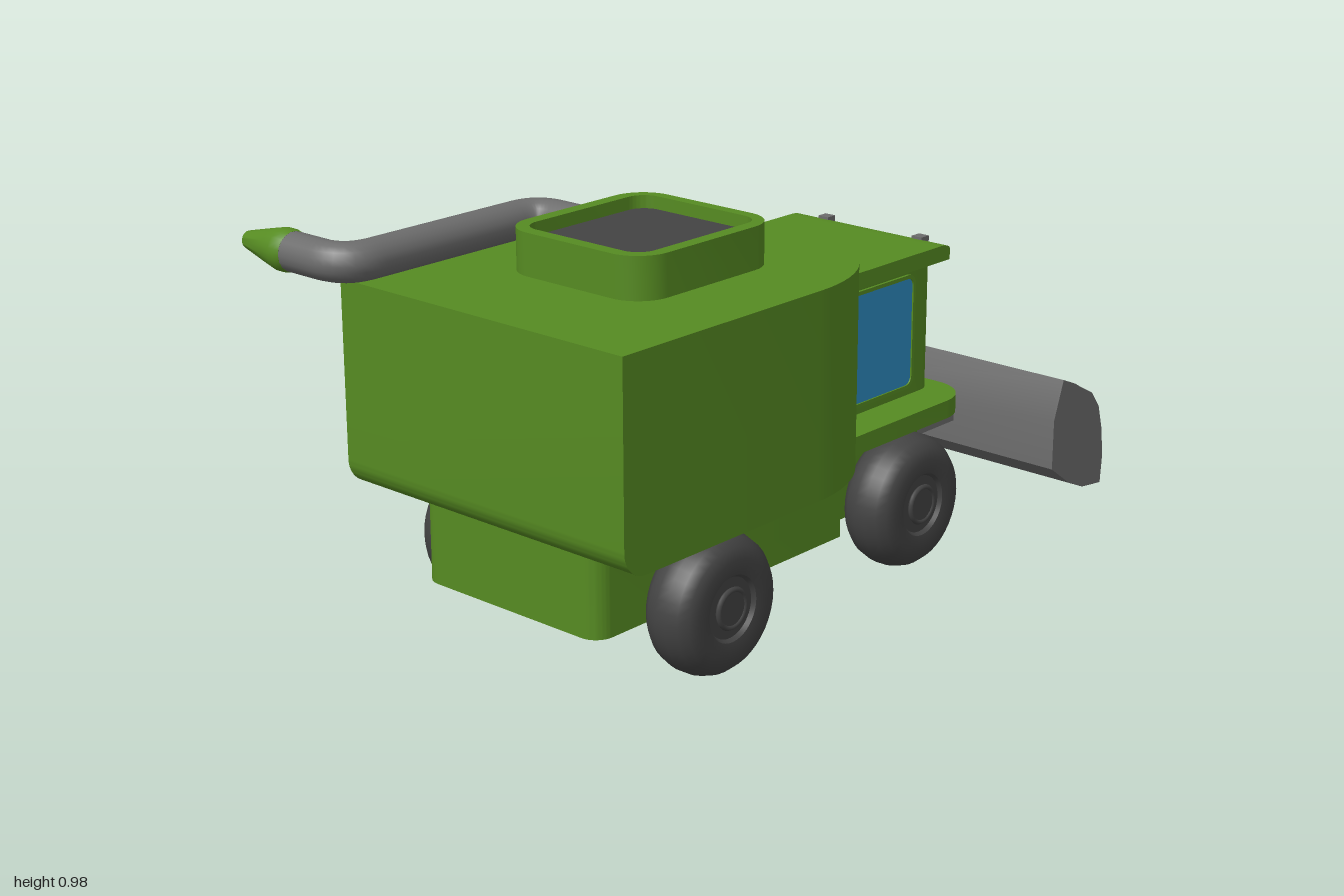
import * as THREE from 'three';
import { toCreasedNormals } from 'three/addons/utils/BufferGeometryUtils.js';

const CX = 0.14; // centre line of the vehicle

export function createModel() {
  const root = new THREE.Group();
  root.name = 'combineHarvester';
  const mat = (name, color, side = THREE.FrontSide) => {
    const m = new THREE.MeshStandardMaterial({ color, side });
    m.name = name;
    return m;
  };
  const green = mat('green', 0x568b22);
  const grey = mat('grey', 0x6c6c6c);
  const dark = mat('darkRubber', 0x434343);
  const blue = mat('blueGlass', 0x2e8bc0);

  const add = (name, geo, material, parent = root) => {
    const m = new THREE.Mesh(geo, material);
    m.name = name;
    parent.add(m);
    return m;
  };

  // Rectangle with one radius for the low-y corners and one for the high-y corners
  const roundRect = (x0, x1, y0, y1, rLow, rHigh = rLow, S = THREE.Shape) => {
    const s = new S();
    const arc = (cx, cy, r, a) => (r > 0 ? s.absarc(cx, cy, r, a, a + Math.PI / 2) : s.lineTo(cx, cy));
    s.moveTo(x0 + rLow, y0);
    arc(x1 - rLow, y0 + rLow, rLow, -Math.PI / 2);
    arc(x1 - rHigh, y1 - rHigh, rHigh, 0);
    arc(x0 + rHigh, y1 - rHigh, rHigh, Math.PI / 2);
    arc(x0 + rLow, y0 + rLow, rLow, Math.PI);
    s.closePath();
    return s;
  };
  const extrude = (shape, depth) =>
    new THREE.ExtrudeGeometry(shape, { depth, bevelEnabled: false, curveSegments: 8 });
  // Plan outline (x, z) raised from y0 to y1
  const plan = (shape, y0, y1) =>
    toCreasedNormals(extrude(shape, y1 - y0).rotateX(Math.PI / 2).translate(0, y1, 0), 0.6);
  // Side outline (z, y) stretched from x0 to x1
  const side = (shape, x0, x1) =>
    toCreasedNormals(extrude(shape, x1 - x0).rotateY(-Math.PI / 2).translate(x1, 0, 0), 0.6);
  const box = (x0, x1, y0, y1, z0, z1) =>
    new THREE.BoxGeometry(x1 - x0, y1 - y0, z1 - z0).translate((x0 + x1) / 2, (y0 + y1) / 2, (z0 + z1) / 2);
  const rod = (x0, x1, r, y, z, n = 16) =>
    new THREE.CylinderGeometry(r, r, x1 - x0, n).rotateZ(Math.PI / 2).translate((x0 + x1) / 2, y, z);

  // Grain tank: front rounded in plan, rear rounded along its lower edge
  const tank = new THREE.Shape();
  tank.moveTo(0.59, 0.82);
  tank.lineTo(-0.31, 0.82);
  tank.lineTo(-0.31, 0.24);
  tank.absellipse(-0.04, 0.24, 0.27, 0.34, Math.PI, Math.PI * 1.5);
  tank.lineTo(0.32, -0.1);
  tank.absellipse(0.32, 0.24, 0.27, 0.34, Math.PI * 1.5, Math.PI * 2);
  tank.closePath();
  add('grainTank', plan(tank, 0.355, 0.872), green);
  const rear = new THREE.Shape();
  rear.moveTo(0.82, 0.355);
  rear.lineTo(0.835, 0.355);
  rear.absarc(0.835, 0.425, 0.07, -Math.PI / 2, 0);
  rear.lineTo(0.905, 0.872);
  rear.lineTo(0.82, 0.872);
  rear.closePath();
  add('grainTankRear', side(rear, -0.31, 0.59), green);

  // Chassis
  add('rearChassis', plan(roundRect(-0.148, 0.428, -0.05, 0.825, 0, 0.05), 0.138, 0.358), green);
  add('frontChassis', plan(roundRect(-0.075, 0.355, -0.5, -0.04, 0.06, 0), 0.138, 0.37), green);
  add('cabDeck', plan(roundRect(-0.19, 0.47, -0.54, -0.05, 0.11, 0), 0.362, 0.41), green);

  // Hopper on top
  const rim = roundRect(-0.085, 0.365, 0.12, 0.605, 0.09);
  rim.holes.push(roundRect(-0.05, 0.33, 0.15, 0.57, 0.05, 0.05, THREE.Path));
  add('hopperRim', plan(rim, 0.865, 0.978), green);
  add('hopperFloor', plan(roundRect(-0.06, 0.34, 0.14, 0.58, 0.05), 0.87, 0.945), dark);

  // Cab with roof, lamps and windows
  add('cab', plan(roundRect(-0.085, 0.365, -0.505, -0.05, 0.05, 0), 0.405, 0.752), green);
  const roof = new THREE.Shape();
  roof.moveTo(-0.05, 0.748);
  roof.lineTo(-0.05, 0.79);
  roof.lineTo(-0.49, 0.79);
  roof.quadraticCurveTo(-0.535, 0.79, -0.535, 0.775);
  roof.lineTo(-0.535, 0.748);
  roof.closePath();
  add('cabRoof', side(roof, -0.107, 0.387), green);
  for (const x of [-0.015, 0.295])
    add('roofLamp', box(x - 0.016, x + 0.016, 0.744, 0.795, -0.546, -0.515), grey);

  const frame = (w, h) => {
    const s = roundRect(-w / 2 - 0.01, w / 2 + 0.01, -h / 2 - 0.01, h / 2 + 0.01, 0.03);
    s.holes.push(roundRect(-w / 2, w / 2, -h / 2, h / 2, 0.022, 0.022, THREE.Path));
    return s;
  };
  const window = (name, w, h, x, y, z, turn) => {
    const g = new THREE.Group();
    g.name = name;
    add('glass', extrude(roundRect(-w / 2, w / 2, -h / 2, h / 2, 0.022), 0.003), blue, g);
    add('windowFrame', extrude(frame(w, h), 0.007), green, g);
    g.position.set(x, y, z);
    g.rotation.y = turn;
    root.add(g);
  };
  window('leftWindow', 0.285, 0.285, 0.365, 0.582, -0.262, Math.PI / 2);
  window('rightWindow', 0.285, 0.285, -0.085, 0.582, -0.262, -Math.PI / 2);
  window('windscreen', 0.31, 0.285, CX, 0.582, -0.505, Math.PI);

  // Wheels: tyre profile spun about the axle, with raised hub rings
  const v = (r, h) => new THREE.Vector2(r, h);
  const tyre = [v(0, -0.06), v(0.075, -0.06), v(0.082, -0.07), v(0.12, -0.075), v(0.148, -0.066),
    v(0.165, -0.045), v(0.174, -0.015), v(0.174, 0.015), v(0.165, 0.045), v(0.148, 0.066),
    v(0.12, 0.075), v(0.082, 0.07), v(0.075, 0.06), v(0, 0.06)];
  const tyreGeo = toCreasedNormals(new THREE.LatheGeometry(tyre, 40).rotateZ(Math.PI / 2), 0.7);
  const hubGeo = new THREE.CylinderGeometry(0.044, 0.048, 0.138, 24).rotateZ(Math.PI / 2);
  const ringGeo = new THREE.TorusGeometry(0.046, 0.007, 6, 28).rotateY(Math.PI / 2);
  for (const [name, half, z] of [['rear', 0.372, 0.535], ['front', 0.295, -0.29]]) {
    for (const s of [-1, 1]) {
      const wheel = new THREE.Group();
      wheel.name = name + (s > 0 ? 'LeftWheel' : 'RightWheel');
      add('tyre', tyreGeo, dark, wheel);
      add('hub', hubGeo, dark, wheel);
      add('hubRing', ringGeo, dark, wheel).position.x = s * 0.066;
      wheel.position.set(CX + s * half, 0.174, z);
      root.add(wheel);
    }
    add(name + 'Axle', rod(CX - half, CX + half, 0.025, 0.174, z), dark);
  }

  // Unloading pipe with two bends, and its nozzle
  const P = (x, z) => new THREE.Vector3(x, 0.922, z);
  const path = new THREE.CurvePath();
  path.add(new THREE.LineCurve3(P(-0.07, 0.318), P(-0.17, 0.318)));
  path.add(new THREE.QuadraticBezierCurve3(P(-0.17, 0.318), P(-0.25, 0.318), P(-0.25, 0.4)));
  path.add(new THREE.LineCurve3(P(-0.25, 0.4), P(-0.25, 0.86)));
  path.add(new THREE.QuadraticBezierCurve3(P(-0.25, 0.86), P(-0.25, 0.94), P(-0.33, 0.94)));
  path.add(new THREE.LineCurve3(P(-0.33, 0.94), P(-0.44, 0.94)));
  add('unloadingPipe', new THREE.TubeGeometry(path, 64, 0.049, 18), grey);
  const nozzle = new THREE.LatheGeometry(
    [v(0, 0), v(0.049, 0), v(0.053, 0.015), v(0.053, 0.035), v(0.045, 0.07), v(0.022, 0.165), v(0, 0.165)], 24);
  add('nozzle', toCreasedNormals(nozzle.rotateZ(Math.PI / 2), 0.6).translate(-0.43, 0.922, 0.94), green);

  // Lifting arms between chassis and header
  add('armMount', box(0.06, 0.22, 0.235, 0.275, -0.55, -0.49), green);
  add('armPivot', rod(0.025, 0.26, 0.034, 0.255, -0.545, 20), green);
  for (const x of [0.025, 0.255])
    add('liftArm', box(x - 0.011, x + 0.011, 0.228, 0.286, -0.76, -0.545), grey);
  add('armCrossBar', rod(0.025, 0.255, 0.022, 0.255, -0.728), grey);

  // Header trough: curved shell closed by two end plates
  const poly = (pts) => new THREE.Shape(pts.map(([z, y]) => new THREE.Vector2(z, y)));
  const back = [[-0.979, 0.064], [-0.893, 0.075], [-0.823, 0.107], [-0.743, 0.165], [-0.743, 0.3], [-0.78, 0.405]];
  const inner = [[-0.8, 0.396], [-0.768, 0.298], [-0.768, 0.18], [-0.832, 0.13], [-0.898, 0.097], [-0.981, 0.084]];
  add('headerShell', side(poly([...back, ...inner]), -0.305, 0.585), grey);
  const front = [[-0.828, 0.385], [-0.87, 0.362], [-0.92, 0.335], [-0.955, 0.29], [-0.975, 0.22], [-0.985, 0.14]];
  for (const x of [-0.31, 0.56])
    add('headerEndPlate', side(poly([...back, ...front]), x, x + 0.03), grey);

  // Reel: end discs, bars and three green spiders
  const RY = 0.258, RZ = -0.905, bars = 5;
  add('reelShaft', rod(-0.29, 0.57, 0.016, RY, RZ), grey);
  for (const s of [-1, 1]) {
    const x = CX + s * 0.365;
    add('reelDisc', rod(x - 0.016, x + 0.016, 0.09, RY, RZ, 28), grey);
    add('reelBearing', rod(x + s * 0.03 - 0.03, x + s * 0.03 + 0.03, 0.06, RY, RZ, 24), grey);
  }
  for (let i = 0; i < bars; i++) {
    const a = (i / bars) * Math.PI * 2 + 0.3;
    const y = RY + 0.07 * Math.sin(a), z = RZ + 0.07 * Math.cos(a);
    add('reelBar', rod(-0.23, 0.51, 0.009, y, z, 10), grey);
    for (const x of [-0.07, CX, 0.35]) {
      add('spiderSleeve', rod(x - 0.012, x + 0.012, 0.016, y, z, 12), green);
      const spoke = add('spiderSpoke', new THREE.BoxGeometry(0.018, 0.016, 0.07), green);
      spoke.position.set(x, (y + RY) / 2, (z + RZ) / 2);
      spoke.rotation.x = -a;
    }
  }
  for (const x of [-0.07, CX, 0.35]) add('spiderHub', rod(x - 0.013, x + 0.013, 0.026, RY, RZ), green);

  return root;
}
